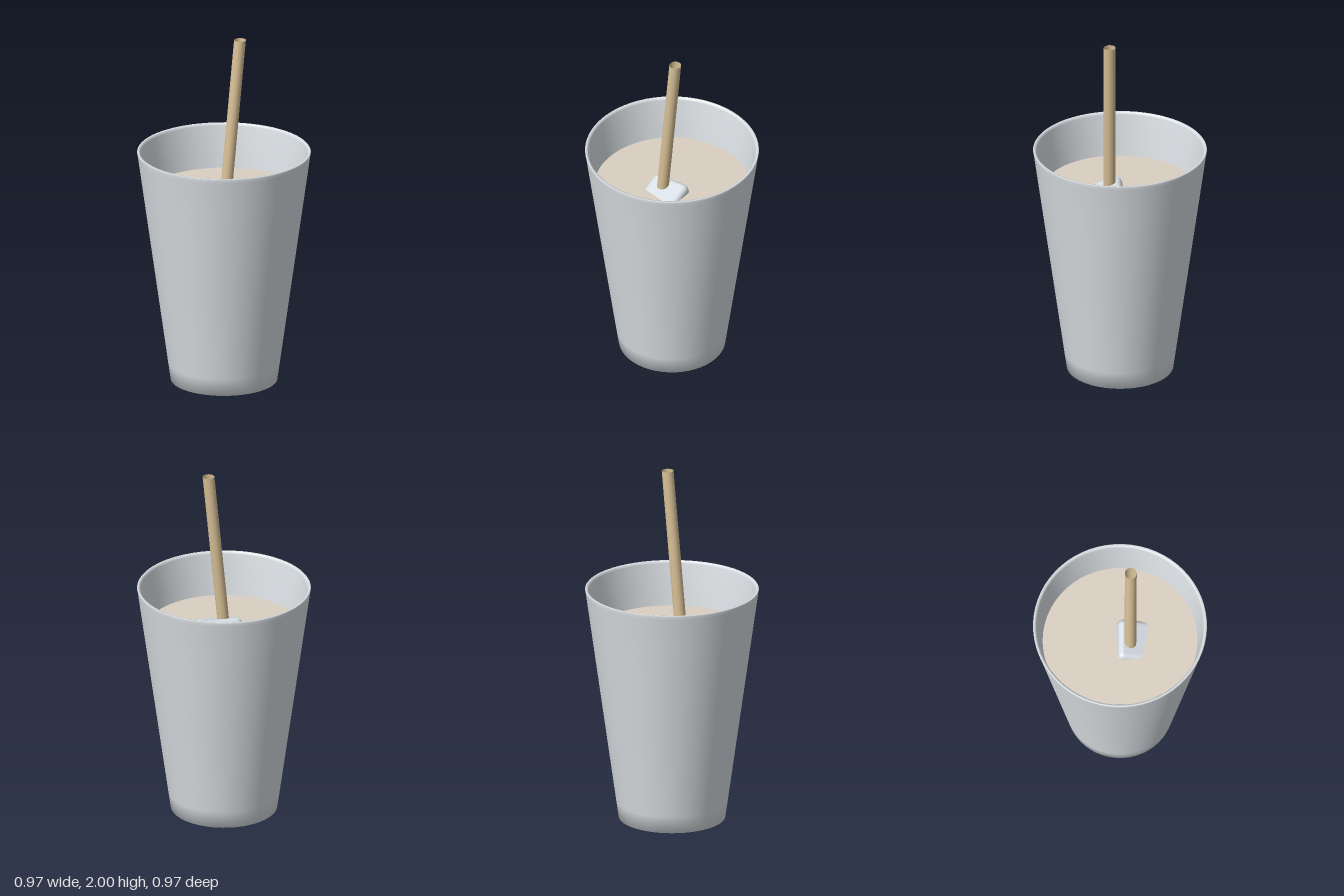
import * as THREE from 'three';
import { RoundedBoxGeometry } from 'three/addons/geometries/RoundedBoxGeometry.js';

const mat = (name, color, side = THREE.FrontSide) => {
  const m = new THREE.MeshStandardMaterial({ color, side });
  m.name = name;
  return m;
};

export function createModel() {
  const group = new THREE.Group();
  const cupGrey = mat('cup grey', 0xdbe0e4);
  const drinkBeige = mat('drink beige', 0xdad0c2);
  const strawTan = mat('straw tan', 0xd8c096, THREE.DoubleSide);
  const icePale = mat('ice pale', 0xdde4ec);

  const add = (name, geometry, material) => {
    const mesh = new THREE.Mesh(geometry, material);
    mesh.name = name;
    group.add(mesh);
    return mesh;
  };
  const lathe = (pts) => new THREE.LatheGeometry(pts.map(([x, y]) => new THREE.Vector2(x, y)), 64);

  // Tapered cup: base, outer wall, thin rounded rim, inner wall and floor
  add('cup', lathe([
    [0, 0], [0.24, 0], [0.297, 0], [0.311, 0.1], [0.46, 1.17], [0.48, 1.315],
    [0.484, 1.335], [0.48, 1.34], [0.47, 1.338], [0.464, 1.325],
    [0.44, 1.16], [0.293, 0.1], [0.28, 0.03], [0, 0.03],
  ]), cupGrey);

  // Drink with a flat surface
  const drinkTop = 1.09;
  const drink = add('drink', new THREE.CylinderGeometry(0.431, 0.283, drinkTop - 0.04, 64), drinkBeige);
  drink.position.y = (drinkTop + 0.04) / 2;

  // Leaning hollow straw, sheared so both ends stay level
  const bottom = 0.06, top = 2, slope = 0.0985;
  const straw = new THREE.CylinderGeometry(0.033, 0.033, top - bottom, 32, 1, true);
  straw.translate(0, (top + bottom) / 2, 0);
  const shear = new THREE.Matrix4().set(
    1, slope, 0, 0.07 - slope * top,
    0, 1, 0, 0,
    0, 0, 1, 0.058,
    0, 0, 0, 1,
  );
  add('straw', straw.applyMatrix4(shear), strawTan);

  // Ice cube tipped forward, mostly under the surface
  const ice = add('iceCube', new RoundedBoxGeometry(0.23, 0.23, 0.23, 4, 0.03), icePale);
  ice.position.set(0.012, 0.993, 0.07);
  ice.rotation.set(0.33, 0.05, 0.05);

  return group;
}
